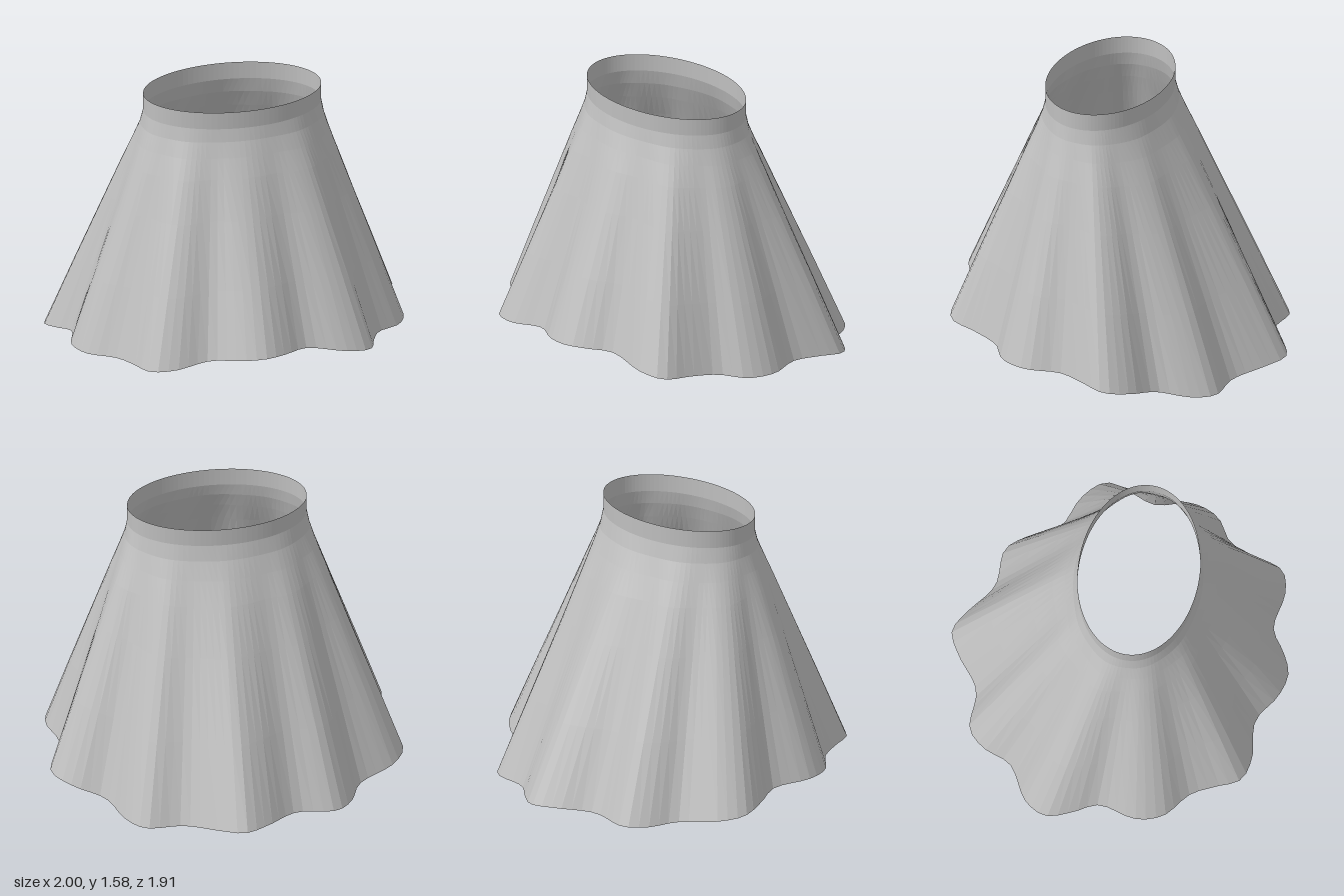
import * as THREE from 'three';

const SEGMENTS = 110;

// Hem line [x, y, z], running from the left side round the front, right and back
const HEM = [
  [0.89, 0.155, 0.07], [0.925, 0.165, 0.28], [0.86, 0.17, 0.43], [0.72, 0.18, 0.52],
  [0.65, 0.2, 0.66], [0.58, 0.22, 0.83], [0.44, 0.24, 0.868], [0.21, 0.272, 0.833],
  [0.07, 0.282, 0.91], [-0.05, 0.285, 0.952], [-0.18, 0.272, 0.915], [-0.34, 0.245, 0.805],
  [-0.55, 0.215, 0.815], [-0.68, 0.205, 0.77], [-0.74, 0.2, 0.63], [-0.8, 0.19, 0.5],
  [-0.94, 0.18, 0.37], [-0.98, 0.175, 0.22], [-0.92, 0.158, 0], [-0.97, 0.125, -0.14],
  [-0.998, 0.09, -0.29], [-0.92, 0.066, -0.41], [-0.7, 0.03, -0.53], [-0.625, 0.017, -0.68],
  [-0.52, 0.018, -0.78], [-0.29, 0.03, -0.775], [-0.1, 0.038, -0.9], [0.04, 0.035, -0.957],
  [0.17, 0.025, -0.885], [0.35, 0.006, -0.755], [0.57, 0.004, -0.73], [0.66, 0.014, -0.615],
  [0.73, 0.05, -0.44], [0.9, 0.1, -0.345], [0.995, 0.13, -0.22], [0.95, 0.148, -0.08],
];

// Surface through a list of closed rings, ordered from top to bottom
function loft(name, rings, material) {
  const n = rings[0].length;
  const positions = rings.flatMap((ring) => ring.flatMap((p) => [p.x, p.y, p.z]));
  const index = [];
  for (let r = 0; r < rings.length - 1; r++) {
    for (let i = 0; i < n; i++) {
      const j = (i + 1) % n;
      const a = r * n + i, b = r * n + j, c = a + n, d = b + n;
      index.push(a, b, c, b, d, c);
    }
  }
  const geometry = new THREE.BufferGeometry();
  geometry.setAttribute('position', new THREE.Float32BufferAttribute(positions, 3));
  geometry.setIndex(index);
  geometry.computeVertexNormals();
  const mesh = new THREE.Mesh(geometry, material);
  mesh.name = name;
  return mesh;
}

export function createModel() {
  const group = new THREE.Group();
  group.name = 'flaredSkirt';

  const cloth = new THREE.MeshStandardMaterial({
    color: 0xbfbfbf, flatShading: true, side: THREE.DoubleSide,
  });
  cloth.name = 'grey cloth';

  // Wavy hem and the oval waist matched to it by angle
  const curve = new THREE.CatmullRomCurve3(HEM.map((p) => new THREE.Vector3(...p)), true);
  const hem = curve.getSpacedPoints(SEGMENTS).slice(0, SEGMENTS);
  const waistAt = (y) => hem.map((p) => {
    const a = Math.atan2(p.z, p.x);
    return new THREE.Vector3(-0.018 + 0.507 * Math.cos(a), y, 0.105 + 0.34 * Math.sin(a));
  });
  const waist = waistAt(1.48);

  // Upright waistband
  group.add(loft('waistband', [waistAt(1.58), waist], cloth));

  // Skirt easing out of the waist, then falling straight to the hem: [drop, spread]
  const profile = [[0, 0], [0.06, 0.037], [0.13, 0.108], [0.22, 0.205], [0.4, 0.39], [0.7, 0.698], [1, 1]];
  const rings = profile.map(([drop, spread]) => waist.map((w, i) => new THREE.Vector3(
    THREE.MathUtils.lerp(w.x, hem[i].x, spread),
    THREE.MathUtils.lerp(w.y, hem[i].y, drop),
    THREE.MathUtils.lerp(w.z, hem[i].z, spread),
  )));
  group.add(loft('pleatedSkirt', rings, cloth));

  return group;
}
